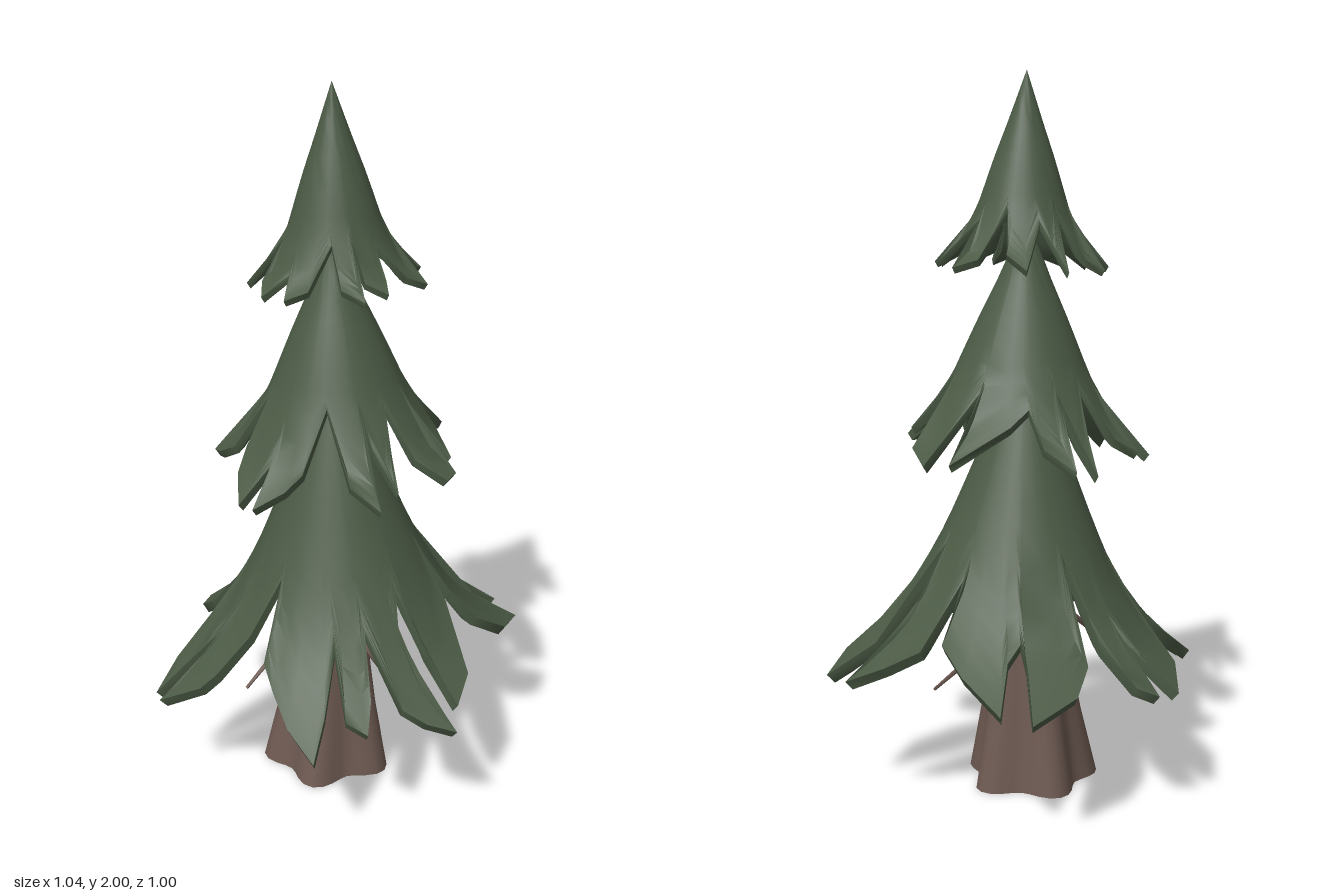
import * as THREE from 'three';
import { toCreasedNormals } from 'three/addons/utils/BufferGeometryUtils.js';

const needles = new THREE.MeshStandardMaterial({ color: 0x4b5a45, side: THREE.DoubleSide });
const bark = new THREE.MeshStandardMaterial({ color: 0x6e5a52, side: THREE.DoubleSide });

// Piecewise-linear lookup in [[input, output], ...]
function lookup(points, t) {
  let k = 1;
  while (k < points.length - 1 && points[k][0] < t) k++;
  const [a, b] = [points[k - 1], points[k]];
  return a[1] + ((b[1] - a[1]) * (t - a[0])) / (b[0] - a[0]);
}

function creased(positions, index, angle) {
  const geo = new THREE.BufferGeometry();
  geo.setAttribute('position', new THREE.Float32BufferAttribute(positions, 3));
  geo.setIndex(index);
  return toCreasedNormals(geo, angle);
}

// Angles of the outline points, unwrapped so that they never run backwards
function risingAngles(outline) {
  const angles = [];
  for (let i = 0; i < outline.length; i += 2) {
    let a = Math.atan2(outline[i + 1], outline[i]);
    if (i > 0) {
      const last = angles[angles.length - 1];
      a += Math.round((last - a) / (2 * Math.PI)) * 2 * Math.PI;
      a = Math.max(a, last + 0.01);
    }
    angles.push(Math.min(a, angles.length ? angles[0] + 6.27 : a));
  }
  return angles;
}

// A hollow cone of drooping fronds: a round core, then fronds reaching out to
// the outline, the jagged rim seen from above (x, z pairs). The profile gives
// the height at each radius.
function tier(name, outline, profile, thickness) {
  const n = outline.length / 2, coreSteps = 7, steps = 14, row = steps + 1;
  const angles = risingAngles(outline), positions = [], index = [];
  let core = Infinity;
  for (let i = 0; i < n; i++) core = Math.min(core, Math.hypot(outline[2 * i], outline[2 * i + 1]));
  core *= 0.92;
  for (const inner of [0, 1]) {
    for (let i = 0; i < n; i++) {
      const even = angles[0] + (i / n) * Math.PI * 2;
      const a = angles[i] * 0.8 + even * 0.2;
      for (let j = 0; j <= steps; j++) {
        const u = Math.min(1, j / coreSteps), v = Math.max(0, (j - coreSteps) / (steps - coreSteps));
        const x = THREE.MathUtils.lerp(core * u * Math.cos(a), outline[2 * i], v);
        const z = THREE.MathUtils.lerp(core * u * Math.sin(a), outline[2 * i + 1], v);
        const r = Math.hypot(x, z), shrink = 1 - inner * 0.04, lean = Math.max(0, 1 - r / 0.3);
        const y = lookup(profile, r) - inner * thickness - 0.12 * z * r;
        positions.push(x * shrink - 0.015 * lean, y, z * shrink + 0.02 * lean);
      }
    }
  }
  const half = n * row;
  for (let i = 0; i < n; i++) {
    const p = i * row, q = ((i + 1) % n) * row;
    for (let j = 0; j < steps; j++) {
      const a = p + j, b = q + j, c = a + 1, d = b + 1;
      index.push(b, d, c, half + b, half + c, half + d);
      if (j > 0) index.push(a, b, c, half + a, half + c, half + b);
    }
    // rim wall
    const t0 = p + steps, t1 = q + steps;
    index.push(t0, t1, half + t0, t1, half + t1, half + t0);
  }
  const mesh = new THREE.Mesh(creased(positions, index, 1.0), needles);
  mesh.name = name;
  return mesh;
}

// Fluted trunk, open below: a five-lobed section that flares towards the roots
function trunk() {
  const levels = [[0, 0.17], [0.2, 0.135], [0.42, 0.105], [0.65, 0.083], [1.0, 0.05], [1.45, 0.02]];
  const sides = 40, positions = [], index = [];
  levels.forEach(([y, r]) => {
    const fluting = 0.15 * Math.max(0.15, 1 - y / 0.9), fade = Math.max(0, 1 - y);
    for (let i = 0; i < sides; i++) {
      const a = (i / sides) * Math.PI * 2;
      const rad = r * (1 + fluting * Math.cos(5 * (a - Math.PI * 0.75)));
      positions.push(rad * Math.cos(a) - 0.02, y, rad * Math.sin(a) + 0.034 * fade);
    }
  });
  for (let k = 0; k < levels.length - 1; k++) {
    for (let i = 0; i < sides; i++) {
      const a = k * sides + i, b = k * sides + ((i + 1) % sides), c = a + sides, d = b + sides;
      index.push(a, c, b, b, c, d);
    }
  }
  const mesh = new THREE.Mesh(creased(positions, index, 0.8), bark);
  mesh.name = 'trunk';
  return mesh;
}

// Thin bare twig tapering from one point to another
function twig(name, from, to) {
  const a = new THREE.Vector3(...from), b = new THREE.Vector3(...to);
  const dir = b.clone().sub(a);
  const mesh = new THREE.Mesh(new THREE.CylinderGeometry(0.005, 0.013, dir.length(), 6), bark);
  mesh.position.copy(a).add(b).multiplyScalar(0.5);
  mesh.quaternion.setFromUnitVectors(new THREE.Vector3(0, 1, 0), dir.normalize());
  mesh.name = name;
  return mesh;
}

export function createModel() {
  const tree = new THREE.Group();
  tree.name = 'pineTree';

  // rims, one frond or pair of fronds per line
  const lowerRim = [
    0.48, 0.07, 0.36, 0.05, 0.25, 0.055,
    0.30, 0.105, 0.41, 0.135, 0.52, 0.125, 0.46, 0.18, 0.40, 0.21, 0.24, 0.18,
    0.33, 0.26, 0.37, 0.32, 0.31, 0.34, 0.20, 0.26,
    0.26, 0.37, 0.30, 0.46, 0.19, 0.44, 0.10, 0.40, 0.03, 0.36, 0, 0.24,
    -0.05, 0.33, -0.10, 0.42, -0.13, 0.455, -0.25, 0.50, -0.20, 0.38, -0.185, 0.32,
    -0.21, 0.345, -0.285, 0.48, -0.31, 0.37, -0.30, 0.24, -0.23, 0.15,
    -0.36, 0.17, -0.44, 0.14, -0.52, 0.03, -0.45, 0.01, -0.37, -0.01,
    -0.51, -0.05, -0.47, -0.10, -0.36, -0.10, -0.22, -0.09,
    -0.37, -0.18, -0.40, -0.27, -0.37, -0.42, -0.28, -0.32, -0.22, -0.275,
    -0.22, -0.33, -0.29, -0.45, -0.14, -0.42, -0.03, -0.37, -0.02, -0.25,
    0.02, -0.40, 0.10, -0.455, 0.20, -0.50, 0.13, -0.33, 0.10, -0.20,
    0.21, -0.37, 0.30, -0.47, 0.35, -0.34, 0.32, -0.23, 0.24, -0.15, 0.19, -0.10,
    0.29, -0.12, 0.44, -0.03,
  ];
  const middleRim = [
    0.35, -0.03, 0.28, 0.02, 0.19, 0.03,
    0.25, 0.08, 0.31, 0.13, 0.22, 0.12, 0.17, 0.10,
    0.31, 0.20, 0.22, 0.22, 0.10, 0.16,
    0.10, 0.27, 0.08, 0.32, 0.02, 0.38, 0, 0.28,
    -0.03, 0.38, -0.10, 0.31, -0.13, 0.24, -0.10, 0.16,
    -0.19, 0.23, -0.26, 0.22, -0.32, 0.18, -0.20, 0.09,
    -0.33, 0.11, -0.30, 0.04, -0.19, 0,
    -0.28, -0.06, -0.365, -0.135, -0.20, -0.09,
    -0.33, -0.18, -0.24, -0.20, -0.16, -0.17,
    -0.14, -0.22, -0.055, -0.365, -0.03, -0.20,
    0.02, -0.38, 0.11, -0.32, 0.12, -0.20, 0.11, -0.15,
    0.21, -0.16, 0.30, -0.11, 0.19, -0.06,
    0.34, -0.08,
  ];
  const upperRim = [
    0.14, 0.01, 0.19, 0.03, 0.22, 0.06, 0.17, 0.09, 0.12, 0.07,
    0.20, 0.13, 0.14, 0.15, 0.08, 0.11,
    0.07, 0.20, 0.02, 0.24, -0.01, 0.18,
    -0.06, 0.24, -0.10, 0.19, -0.08, 0.11,
    -0.18, 0.17, -0.18, 0.11, -0.12, 0.05,
    -0.25, 0.05, -0.22, 0, -0.12, -0.02,
    -0.24, -0.10, -0.12, -0.08,
    -0.17, -0.19, -0.09, -0.18, -0.04, -0.12,
    -0.03, -0.22, 0.03, -0.25, 0.04, -0.13,
    0.12, -0.20, 0.14, -0.16, 0.10, -0.09,
    0.22, -0.10, 0.20, -0.04,
  ];

  tree.add(
    trunk(),
    twig('leftTwig', [0.05, 0.43, 0], [0.3, 0.2, -0.02]),
    twig('frontTwig', [0, 0.57, 0.07], [-0.07, 0.34, 0.33]),
    tier('lowerFronds', lowerRim,
      [[0, 1.28], [0.07, 1.1], [0.13, 0.95], [0.19, 0.8], [0.27, 0.62], [0.36, 0.49], [0.52, 0.36], [0.58, 0.33]], 0.025),
    tier('middleFronds', middleRim,
      [[0, 1.62], [0.07, 1.45], [0.13, 1.32], [0.19, 1.18], [0.27, 1.05], [0.39, 0.95]], 0.02),
    tier('upperFronds', upperRim,
      [[0, 2], [0.045, 1.87], [0.085, 1.76], [0.13, 1.62], [0.18, 1.53], [0.26, 1.47]], 0.016),
  );
  return tree;
}
